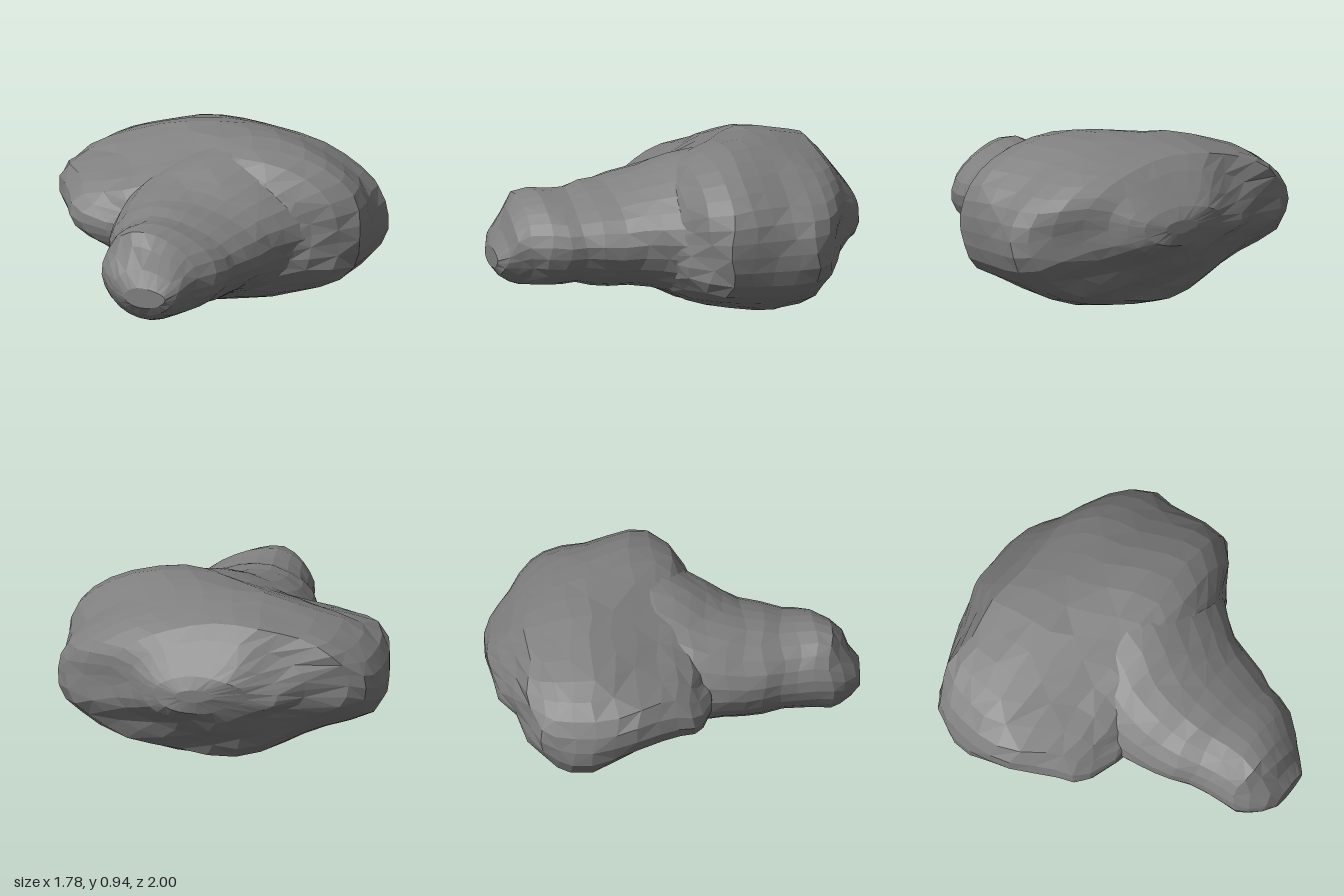
import * as THREE from 'three';

const material = new THREE.MeshStandardMaterial({ color: 0x808080, flatShading: true });

// Gentle lumps so the surface looks weathered
const lump = (x, y, z) =>
  0.012 * Math.sin(9 * x + 4 * z) * Math.sin(8 * y + 2 * x) + 0.008 * Math.sin(13 * z + 7 * y);

// Counter-clockwise closed outline in the -1..1 box, part way between two outlines
function outline(back, front, t, count) {
  const points = back.map(([x, y], i) => new THREE.Vector3(
    THREE.MathUtils.lerp(x, front[i][0], t), THREE.MathUtils.lerp(y, front[i][1], t), 0));
  return new THREE.CatmullRomCurve3(points, true).getSpacedPoints(count).slice(0, count);
}

// Skin cross-sections [z, xMin, xMax, yMin, yMax] from back to front and close both ends;
// the outline changes from back to front over the range of z given by blend
function loft(name, back, front, blend, n, sections) {
  const pos = [], index = [], last = sections.length - 1;
  sections.forEach(([z, x0, x1, y0, y1], i) => {
    const cx = (x0 + x1) / 2, cy = (y0 + y1) / 2;
    const wobble = i === 0 || i === last ? 0 : 0.015;
    for (const p of outline(back, front, THREE.MathUtils.smoothstep(z, ...blend), n)) {
      const x = p.x * (x1 - x0) / 2, y = p.y * (y1 - y0) / 2;
      const s = 1 + lump(cx + x, cy + y, z);
      pos.push(cx + x * s, Math.max(0, cy + y * s), z + wobble * Math.sin(11 * x + 17 * y + 5 * i));
    }
  });
  for (let i = 0; i < last; i++) for (let j = 0; j < n; j++) {
    const k = (j + 1) % n, a = i * n + j, b = i * n + k, c = a + n, d = b + n;
    if ((i + j) % 2) index.push(a, b, d, a, d, c);
    else index.push(a, b, c, b, d, c);
  }
  for (const i of [0, last]) {
    const [z, x0, x1, y0, y1] = sections[i];
    const centre = pos.length / 3;
    pos.push((x0 + x1) / 2, (y0 + y1) / 2, z);
    for (let j = 0; j < n; j++) {
      const a = i * n + j, b = i * n + (j + 1) % n;
      if (i) index.push(centre, a, b);
      else index.push(centre, b, a);
    }
  }
  const geometry = new THREE.BufferGeometry();
  geometry.setAttribute('position', new THREE.Float32BufferAttribute(pos, 3));
  geometry.setIndex(index);
  geometry.computeVertexNormals();
  const mesh = new THREE.Mesh(geometry, material);
  mesh.name = name;
  return mesh;
}

export function createModel() {
  const group = new THREE.Group();
  group.name = 'lumpyRock';

  // Wide body: high on the -x side at the back, high on the +x side at the front
  const bodyBack = [
    [1, -0.02], [0.95, 0.34], [0.77, 0.62], [0.52, 0.84], [0.15, 1], [-0.25, 0.98], [-0.48, 0.88],
    [-0.74, 0.7], [-0.94, 0.42], [-1, 0.02], [-0.93, -0.32], [-0.67, -0.52], [-0.46, -0.7],
    [-0.28, -0.9], [-0.08, -1], [0.22, -0.96], [0.52, -0.86], [0.78, -0.66], [0.94, -0.4],
  ];
  const bodyFront = [
    [1, -0.05], [0.95, 0.48], [0.76, 0.82], [0.52, 0.98], [0.15, 0.98], [-0.22, 0.8], [-0.46, 0.66],
    [-0.72, 0.56], [-0.93, 0.46], [-1, 0.22], [-0.92, -0.06], [-0.67, -0.3], [-0.46, -0.56],
    [-0.28, -0.82], [-0.1, -1], [0.22, -0.92], [0.54, -0.82], [0.8, -0.64], [0.94, -0.45],
  ];
  group.add(loft('body', bodyBack, bodyFront, [-0.55, -0.1], 34, [
    [-1.0, -0.02, 0.18, 0.49, 0.56],
    [-0.98, -0.2, 0.3, 0.42, 0.63],
    [-0.93, -0.36, 0.38, 0.35, 0.7],
    [-0.86, -0.5, 0.46, 0.28, 0.79],
    [-0.79, -0.72, 0.58, 0.21, 0.86],
    [-0.72, -0.8, 0.72, 0.13, 0.88],
    [-0.65, -0.84, 0.82, 0.05, 0.9],
    [-0.56, -0.87, 0.88, 0.02, 0.92],
    [-0.45, -0.89, 0.88, 0.0, 0.935],
    [-0.33, -0.88, 0.88, 0.0, 0.94],
    [-0.21, -0.85, 0.88, 0.01, 0.94],
    [-0.09, -0.79, 0.88, 0.04, 0.91],
    [0.0, -0.74, 0.79, 0.07, 0.87],
    [0.08, -0.7, 0.66, 0.11, 0.8],
    [0.13, -0.62, 0.56, 0.15, 0.73],
    [0.18, -0.46, 0.46, 0.21, 0.66],
    [0.2, -0.25, 0.3, 0.3, 0.58],
  ]));

  // Neck flaring into the body, tapering to a blunt tip with a sloping +x shoulder
  const neckBack = [
    [1, 0], [0.87, 0.5], [0.5, 0.87], [0, 1], [-0.45, 0.87], [-0.82, 0.52],
    [-1, 0], [-0.87, -0.5], [-0.5, -0.87], [0, -1], [0.5, -0.87], [0.87, -0.5],
  ];
  const neckFront = [
    [1, 0.05], [0.85, 0.42], [0.48, 0.74], [0.02, 0.96], [-0.4, 0.98], [-0.8, 0.68],
    [-1, 0.12], [-0.88, -0.42], [-0.55, -0.82], [-0.05, -1], [0.48, -0.86], [0.85, -0.46],
  ];
  group.add(loft('neck', neckBack, neckFront, [0, 0.5], 24, [
    [-0.25, -0.3, 0.7, 0.14, 0.91],
    [-0.1, -0.36, 0.72, 0.13, 0.9],
    [0.0, -0.4, 0.7, 0.13, 0.87],
    [0.09, -0.42, 0.62, 0.14, 0.83],
    [0.18, -0.41, 0.55, 0.16, 0.79],
    [0.28, -0.39, 0.49, 0.17, 0.76],
    [0.38, -0.37, 0.46, 0.17, 0.73],
    [0.48, -0.35, 0.43, 0.18, 0.72],
    [0.58, -0.31, 0.39, 0.2, 0.69],
    [0.67, -0.29, 0.38, 0.19, 0.69],
    [0.76, -0.28, 0.34, 0.19, 0.7],
    [0.84, -0.27, 0.26, 0.19, 0.68],
    [0.9, -0.23, 0.22, 0.21, 0.61],
    [0.96, -0.17, 0.18, 0.25, 0.5],
    [1.0, -0.1, 0.13, 0.3, 0.41],
  ]));
  return group;
}
